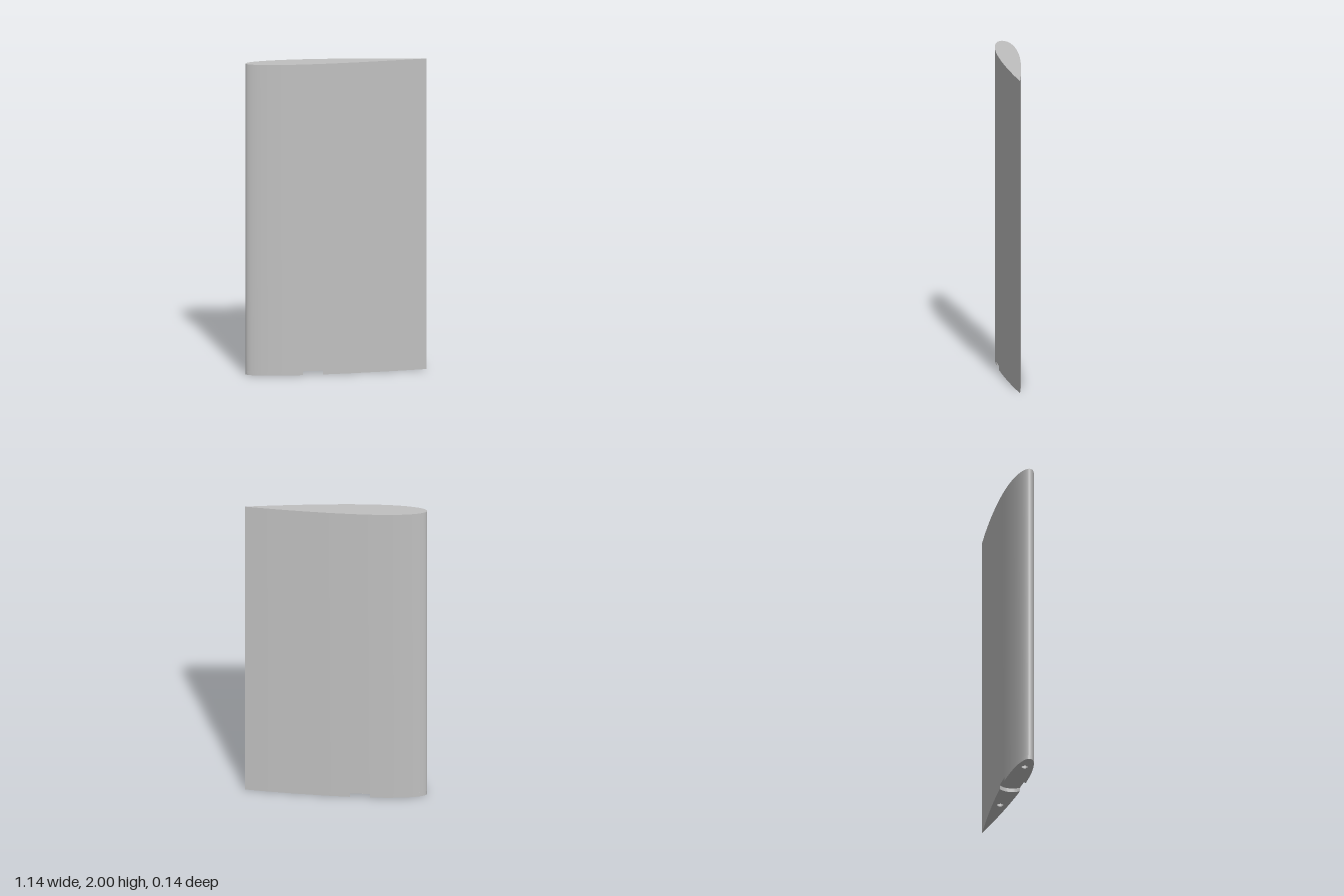
import * as THREE from 'three';
import { toCreasedNormals } from 'three/addons/utils/BufferGeometryUtils.js';

const CHORD = 1.14, HEIGHT = 2, THICKNESS = 0.12;
const RECESS = { x: -0.155, r: 0.0913, depth: 0.025, x0: -0.215, x1: -0.09 };
const HOLES = [-0.445, 0.138], HOLE_R = 0.02, HOLE_DEPTH = 0.12;

// Point on the symmetric foil: s = 0 is the nose, s = PI the trailing edge
function foilPoint(s) {
  const t = (1 - Math.cos(s)) / 2;
  const half = 5 * THICKNESS * CHORD *
    (0.2969 * Math.sqrt(t) - 0.126 * t - 0.3516 * t ** 2 + 0.2843 * t ** 3 - 0.1036 * t ** 4);
  return new THREE.Vector2((t - 0.5) * CHORD, half * Math.sign(Math.sin(s)));
}
const paramAt = (x) => Math.acos(1 - 2 * (x / CHORD + 0.5));

function sample(fn, a, b, n) {
  return Array.from({ length: n + 1 }, (_, i) => fn(a + (b - a) * i / n));
}
const foil = (a, b, n) => sample(foilPoint, a, b, n);

// Inner points of an arc on the recess circle
const arc = (a, b) => sample((q) => new THREE.Vector2(
  RECESS.x + RECESS.r * Math.cos(q), RECESS.r * Math.sin(q)), a, b, 20).slice(1, -1);

function withHole(points, x) {
  const shape = new THREE.Shape(points);
  shape.holes.push(new THREE.Path().absarc(x, 0, HOLE_R, 0, Math.PI * 2, true));
  return shape;
}

// Side surface only of an upright extrusion
function wall(shape, y0, y1) {
  const full = new THREE.ExtrudeGeometry(shape, { depth: y1 - y0, bevelEnabled: false, curveSegments: 24 });
  const { start, count } = full.groups[1];
  const geo = new THREE.BufferGeometry();
  geo.setAttribute('position', new THREE.BufferAttribute(
    full.attributes.position.array.slice(start * 3, (start + count) * 3), 3));
  geo.rotateX(-Math.PI / 2).translate(0, y0, 0);
  return toCreasedNormals(geo, Math.PI / 5);
}

// Flat horizontal face, facing up (1) or down (-1)
function cap(shape, y, facing) {
  return new THREE.ShapeGeometry(shape, 24).rotateX(-facing * Math.PI / 2).translate(0, y, 0);
}

export function createModel() {
  const model = new THREE.Group();
  model.name = 'foilBlade';
  const grey = new THREE.MeshStandardMaterial({ color: 0xc0c0c0, side: THREE.DoubleSide });
  grey.name = 'grey';
  const add = (name, geometry) => {
    const mesh = new THREE.Mesh(geometry, grey);
    mesh.name = name;
    model.add(mesh);
    return mesh;
  };

  const sA = paramAt(RECESS.x0), sB = paramAt(RECESS.x1);
  const pA = foilPoint(sA), pB = foilPoint(sB);
  const alpha = Math.atan2(pA.y, pA.x - RECESS.x);
  const beta = Math.atan2(pB.y, pB.x - RECESS.x);

  // Blade skin and tip
  const section = new THREE.Shape(foil(-Math.PI, Math.PI, 96).slice(0, -1));
  add('bladeSkin', wall(section, RECESS.depth, HEIGHT));
  add('bladeTip', cap(section, HEIGHT, 1));

  // Root pieces either side of the round recess
  const nose = withHole([...foil(-sA, sA, 48), ...arc(alpha, 2 * Math.PI - alpha)], HOLES[0]);
  const tail = withHole([...foil(sB, 2 * Math.PI - sB, 60), ...arc(-beta, beta)], HOLES[1]);
  for (const [name, shape] of [['noseRoot', nose], ['tailRoot', tail]]) {
    add(name + 'Wall', wall(shape, 0, RECESS.depth));
    add(name + 'Face', cap(shape, 0, -1));
  }

  // Recess ceiling
  const ceiling = new THREE.Shape([
    ...foil(sA, sB, 6), ...arc(beta, -beta),
    ...foil(-sB, -sA, 6), ...arc(2 * Math.PI - alpha, alpha),
  ]);
  add('recessCeiling', cap(ceiling, RECESS.depth, -1));

  // Blind dowel holes
  for (const x of HOLES) {
    const depth = HOLE_DEPTH - RECESS.depth;
    add('dowelHole', new THREE.CylinderGeometry(HOLE_R, HOLE_R, depth, 24, 1, true))
      .position.set(x, RECESS.depth + depth / 2, 0);
    add('dowelHoleEnd', new THREE.CircleGeometry(HOLE_R, 24).rotateX(Math.PI / 2))
      .position.set(x, HOLE_DEPTH, 0);
  }
  return model;
}
